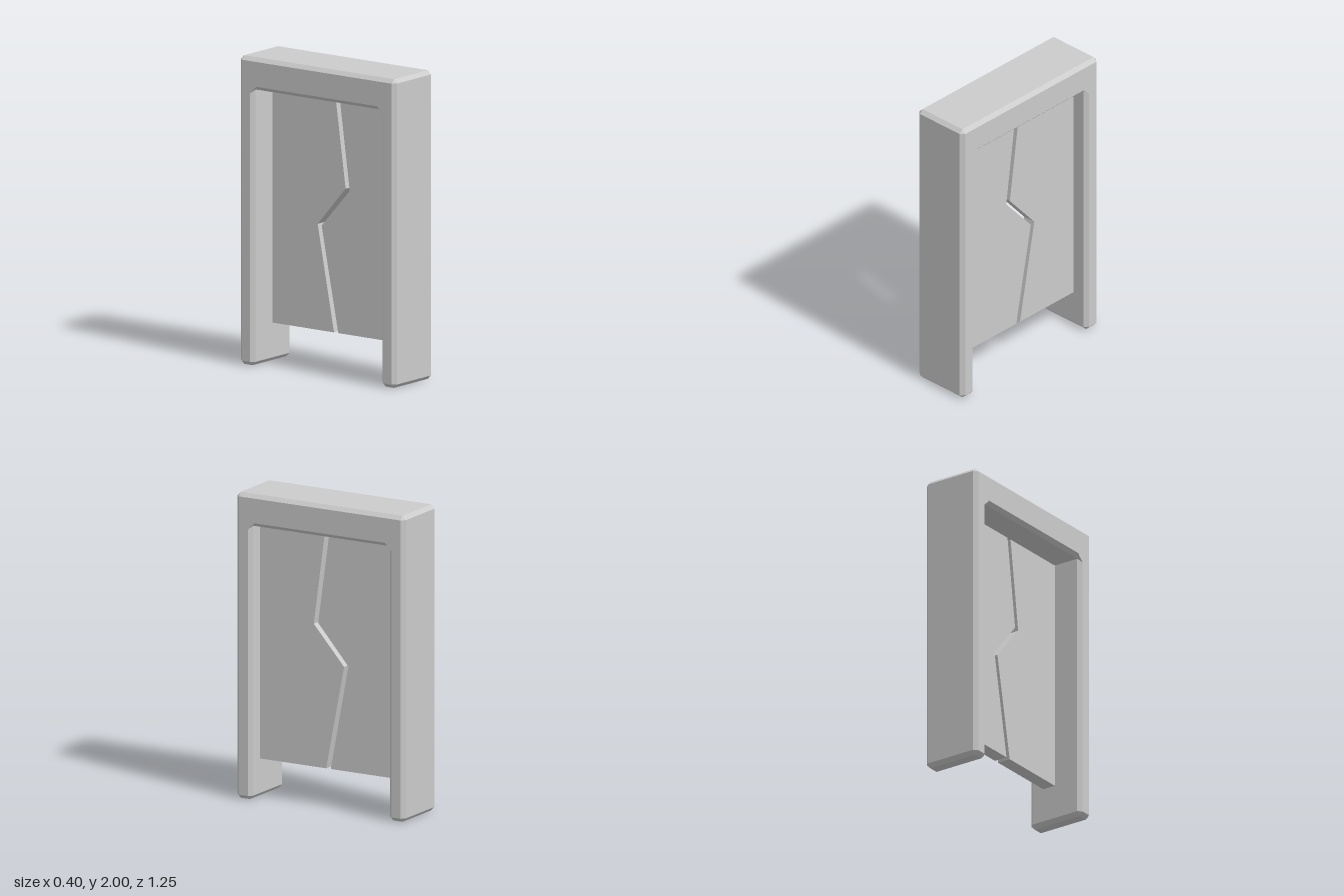
import * as THREE from 'three';

const material = new THREE.MeshStandardMaterial({ color: 0xcccccc, flatShading: true });

// Half outlines as [z, y], from the inner top corner down the leg and up the outside
const sideHalf = [
  [0.508, 1.79], [0.508, 1.79], [0.508, 0.025], [0.533, 0],
  [0.6, 0], [0.625, 0.025], [0.625, 1.975], [0.6, 2],
];
const faceHalf = [
  [0.484, 1.814], [0.533, 1.766], [0.533, 0.025], [0.533, 0.025],
  [0.6, 0.025], [0.6, 0.025], [0.6, 1.975], [0.6, 1.975],
];
const mirrored = (half) => [...half, ...half.map(([z, y]) => [-z, y]).reverse()];

// Doorway frame: outlines joined across x, with chamfered edges
function frameGeometry() {
  const side = mirrored(sideHalf), face = mirrored(faceHalf);
  const rings = [[-0.2, face], [-0.175, side], [0.175, side], [0.2, face]];
  const positions = [];
  const triangle = (...corners) => {
    const [a, b, c] = corners.map((p) => new THREE.Vector3(...p));
    if (b.clone().sub(a).cross(c.clone().sub(a)).length() > 1e-7) positions.push(...corners.flat());
  };
  for (let r = 0; r < rings.length - 1; r++) {
    const [x0, loop0] = rings[r], [x1, loop1] = rings[r + 1];
    loop0.forEach((_, i) => {
      const j = (i + 1) % loop0.length;
      const at = (x, [z, y]) => [x, y, z];
      const p0 = at(x0, loop0[i]), q0 = at(x0, loop0[j]);
      const p1 = at(x1, loop1[i]), q1 = at(x1, loop1[j]);
      triangle(p0, p1, q1);
      triangle(p0, q1, q0);
    });
  }
  // Flat faces on both broad sides
  const outline = face
    .filter(([z, y], i) => i === 0 || z !== face[i - 1][0] || y !== face[i - 1][1])
    .map(([z, y]) => new THREE.Vector2(z, y));
  for (const [a, b, c] of THREE.ShapeUtils.triangulateShape(outline, [])) {
    const at = (x, i) => [x, outline[i].y, outline[i].x];
    triangle(at(-0.2, a), at(-0.2, b), at(-0.2, c));
    triangle(at(0.2, a), at(0.2, c), at(0.2, b));
  }
  const geometry = new THREE.BufferGeometry();
  geometry.setAttribute('position', new THREE.Float32BufferAttribute(positions, 3));
  geometry.computeVertexNormals();
  return geometry;
}

// Door half: a zigzag inner edge and a straight outer edge tucked into the frame
function doorGeometry(edge, outerZ) {
  const points = [...edge, [outerZ, 0.25], [outerZ, 1.795]];
  const shape = new THREE.Shape(points.map(([z, y]) => new THREE.Vector2(-z, y)));
  return new THREE.ExtrudeGeometry(shape, { depth: 0.09, bevelEnabled: false }).rotateY(Math.PI / 2);
}

export function createModel() {
  const group = new THREE.Group();
  const add = (name, geometry) => {
    const mesh = new THREE.Mesh(geometry, material);
    mesh.name = name;
    group.add(mesh);
  };
  add('doorFrame', frameGeometry());
  add('frontDoorHalf', doorGeometry([[0.027, 1.795], [0.11, 1.183], [-0.115, 0.93], [0.018, 0.25]], 0.515));
  add('backDoorHalf', doorGeometry([[-0.006, 1.795], [0.077, 1.193], [-0.147, 0.937], [-0.016, 0.25]], -0.515));
  return group;
}
